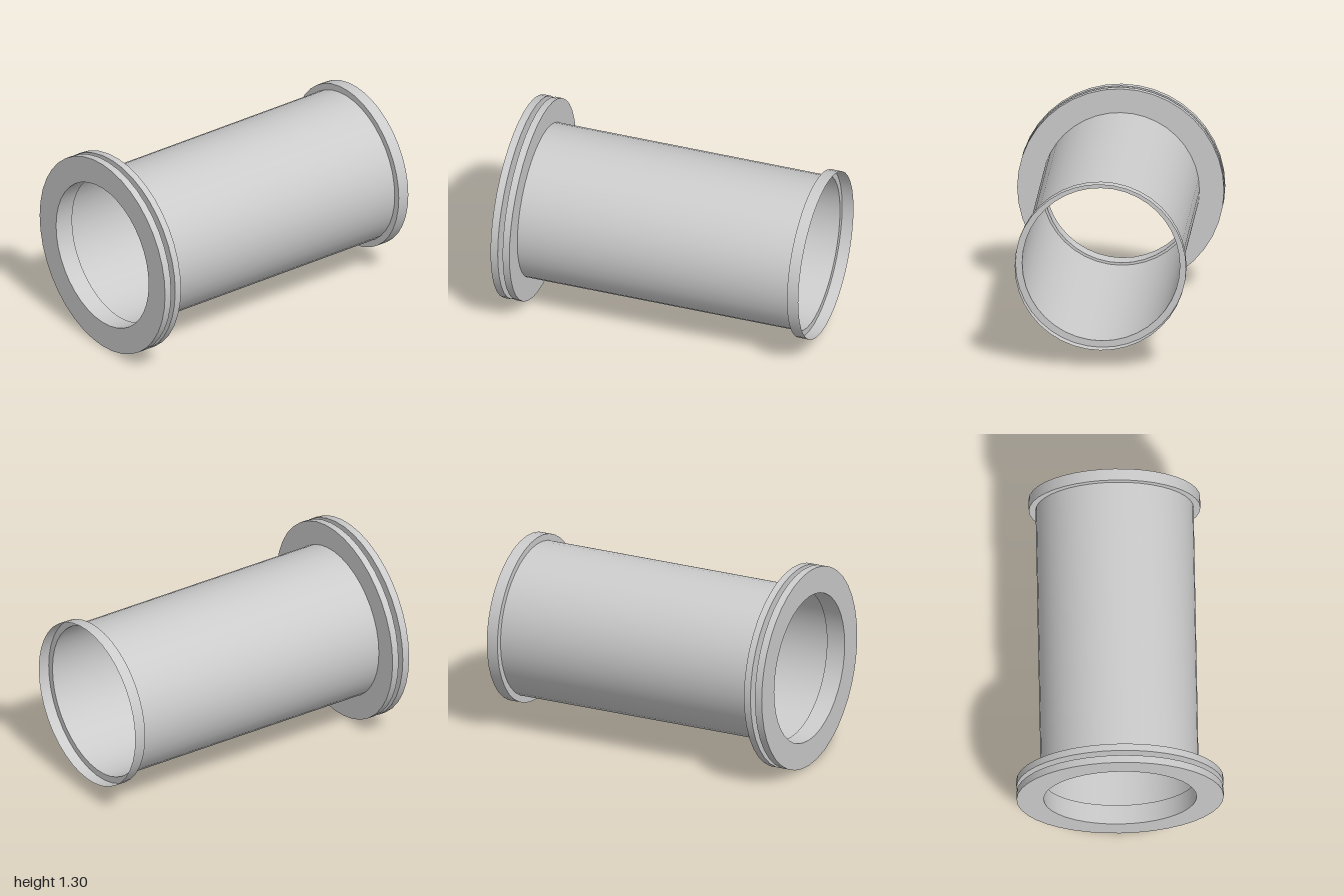
import * as THREE from 'three';
import { mergeGeometries } from 'three/addons/utils/BufferGeometryUtils.js';

const SIDES = 40;
const AXIS_Y = 0.65; // height of the pipe's axis

// Turns a [radius, z] profile about the z axis; every profile corner stays sharp.
function turned(name, profile, side = THREE.FrontSide) {
  const bands = [];
  for (let i = 0; i < profile.length - 1; i++) {
    const pair = [profile[i], profile[i + 1]].map(([r, z]) => new THREE.Vector2(r, z));
    bands.push(new THREE.LatheGeometry(pair, SIDES));
  }
  const geometry = mergeGeometries(bands);
  geometry.rotateX(Math.PI / 2);
  const mesh = new THREE.Mesh(geometry, new THREE.MeshStandardMaterial({ color: 0xcccccc, side }));
  mesh.name = name;
  return mesh;
}

export function createModel() {
  const group = new THREE.Group();
  group.name = 'flangedPipe';

  const bore = 0.48, tubeR = 0.496, collarR = 0.538, grooveR = 0.53, flangeR = 0.65;
  const flangeBack = 0.875, collarFront = -0.925;

  // Double flange with a groove between its two plates
  group.add(turned('frontFlange', [
    [bore, flangeBack], [flangeR, flangeBack], [flangeR, 0.92], [grooveR, 0.92],
    [grooveR, 0.952], [flangeR, 0.952], [flangeR, 1], [bore, 1], [bore, flangeBack],
  ]));

  // Thin-walled tube, open at both ends
  group.add(turned('tube', [[tubeR, collarFront], [tubeR, flangeBack]], THREE.DoubleSide));

  // Thin socket collar, open to the back
  group.add(turned('backCollar', [
    [collarR, -1], [collarR, collarFront], [tubeR, collarFront],
  ], THREE.DoubleSide));

  group.position.y = AXIS_Y;
  const root = new THREE.Group();
  root.name = 'pipeSection';
  root.add(group);
  return root;
}
